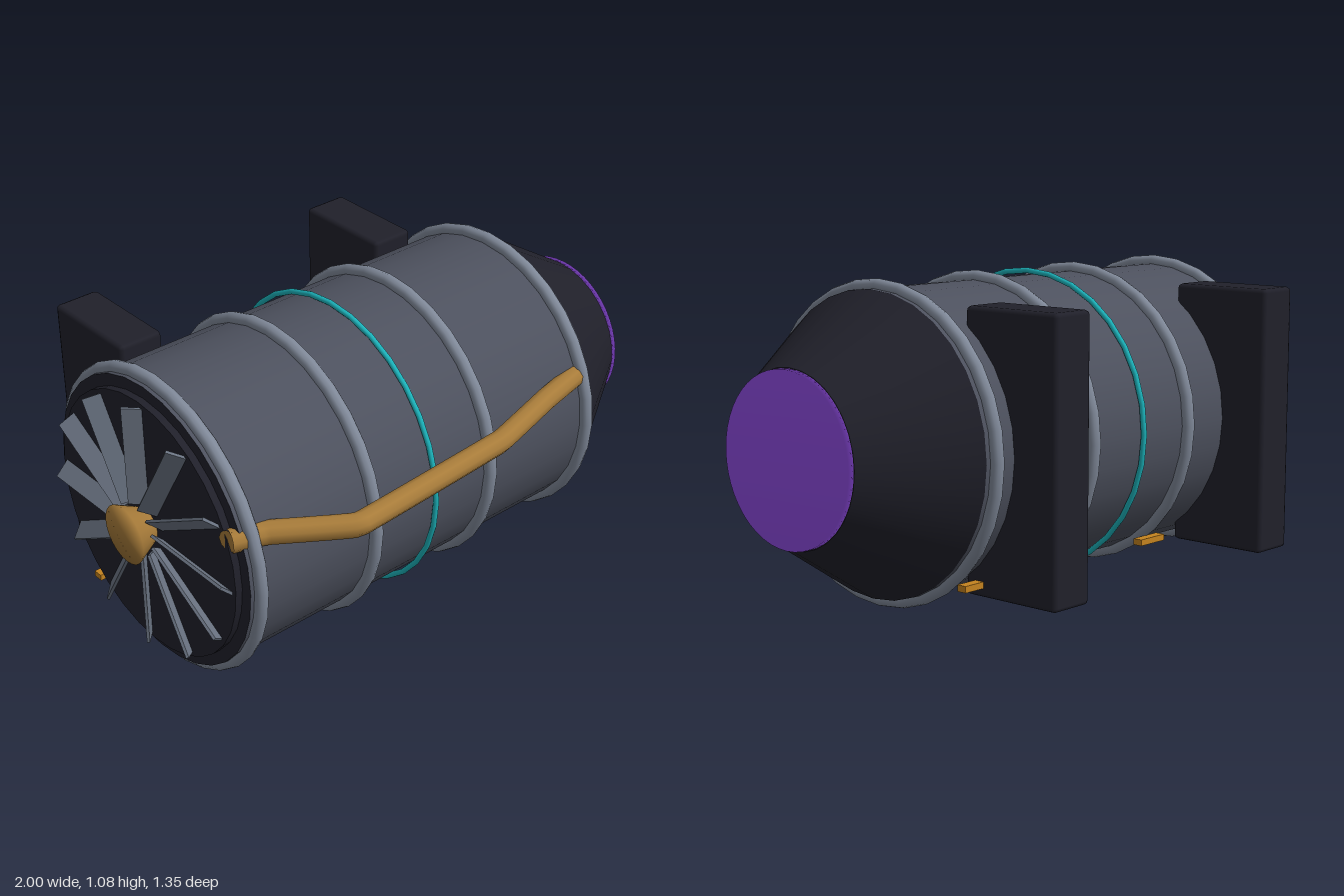
import * as THREE from 'three';
import { mergeVertices } from 'three/addons/utils/BufferGeometryUtils.js';
import { RoundedBoxGeometry } from 'three/addons/geometries/RoundedBoxGeometry.js';

const AXIS_Y = 0.547;

function paint(name, color) {
  const m = new THREE.MeshStandardMaterial({ color });
  m.name = name;
  return m;
}

// Cylinder or cone lying along x, from x0 (radius r0) to x1 (radius r1)
function barrel(x0, r0, x1, r1, sides = 32, open = false) {
  return new THREE.CylinderGeometry(r1, r0, x1 - x0, sides, 1, open)
    .rotateZ(-Math.PI / 2)
    .translate((x0 + x1) / 2, 0, 0);
}

// Shares normals across the rim so a flat cap shades softly
function soften(geometry) {
  geometry.deleteAttribute('normal');
  geometry.deleteAttribute('uv');
  const g = mergeVertices(geometry);
  g.computeVertexNormals();
  return g;
}

export function createModel() {
  const shell = paint('slate shell', 0x4d515e);
  const steel = paint('light steel', 0x7f8898);
  const blade = paint('blade grey', 0x6b7483);
  const dark = paint('dark metal', 0x20202a);
  const bronze = paint('bronze', 0xa87c3a);
  const amber = paint('amber', 0xc4831f);
  const cyan = paint('cyan', 0x1cb3bb);
  const purple = paint('purple glow', 0x8f4be2);

  const model = new THREE.Group();
  const engine = new THREE.Group();
  engine.name = 'engine';
  engine.position.y = AXIS_Y;
  model.add(engine);

  const add = (name, geometry, material, parent = engine) => {
    const mesh = new THREE.Mesh(geometry, material);
    mesh.name = name;
    parent.add(mesh);
    return mesh;
  };

  // Main casing, intake plate and exhaust cone
  add('casing', barrel(-0.89, 0.51, 0.63, 0.51), [shell, dark, dark]);
  add('intakePlate', barrel(-0.915, 0.468, -0.88, 0.468), dark);
  add('exhaustCone', barrel(0.63, 0.51, 0.978, 0.29), dark);
  add('exhaustGlow', soften(barrel(0.97, 0.287, 1.0, 0.287, 48)), purple);

  // Raised bands around the casing
  const band = (name, x, radius, tube, material) =>
    add(name, new THREE.TorusGeometry(radius, tube, 10, 32).rotateY(Math.PI / 2).translate(x, 0, 0), material);
  for (const x of [-0.855, -0.385, 0.125, 0.592]) band('casingBand', x, 0.519, 0.023, steel);
  band('lightBand', -0.13, 0.526, 0.01, cyan);

  // Fan: pitched blades around a hub that widens outward
  const fan = new THREE.Group();
  fan.name = 'fan';
  engine.add(fan);
  const bladeShape = new THREE.BoxGeometry(0.075, 0.36, 0.01)
    .rotateY(-Math.PI / 4)
    .translate(-0.932, 0.27, 0);
  const count = 12;
  for (let i = 0; i < count; i++) {
    add('fanBlade', bladeShape, blade, fan).rotation.x = (i / count) * Math.PI * 2;
  }
  add('fanHub', soften(barrel(-1.0, 0.105, -0.9, 0.055, 24)), bronze, fan);

  // Bent pipe along the front
  const points = [
    [-0.91, 0.44], [-0.8, 0.475], [-0.56, 0.632], [0.09, 0.59], [0.38, 0.51], [0.59, 0.462],
  ].map(([x, z]) => new THREE.Vector3(x, 0.175, z));
  const path = new THREE.CatmullRomCurve3(points, false, 'catmullrom', 0.05);
  add('frontPipe', new THREE.TubeGeometry(path, 60, 0.039, 10), bronze);
  const ends = [[points[0], -1], [points[points.length - 1], 1]];
  for (const [p, side] of ends) {
    const cap = add('pipeCap', new THREE.CircleGeometry(0.039, 10), bronze);
    cap.position.copy(p);
    cap.rotation.y = side * Math.PI / 2 + (side < 0 ? 0.3 : 0.22);
  }

  // Mounting pylons on the back
  for (const x of [-0.683, 0.42]) {
    add('pylon', new RoundedBoxGeometry(0.165, 0.935, 0.38, 1, 0.015), dark)
      .position.set(x, 0, -0.49);
  }

  // Small bars along the lower back
  for (const x of [-0.83, -0.38, 0.07, 0.52]) {
    add('lowerBar', new THREE.BoxGeometry(0.13, 0.022, 0.036), amber)
      .position.set(x, -0.425, -0.358);
  }

  return model;
}
